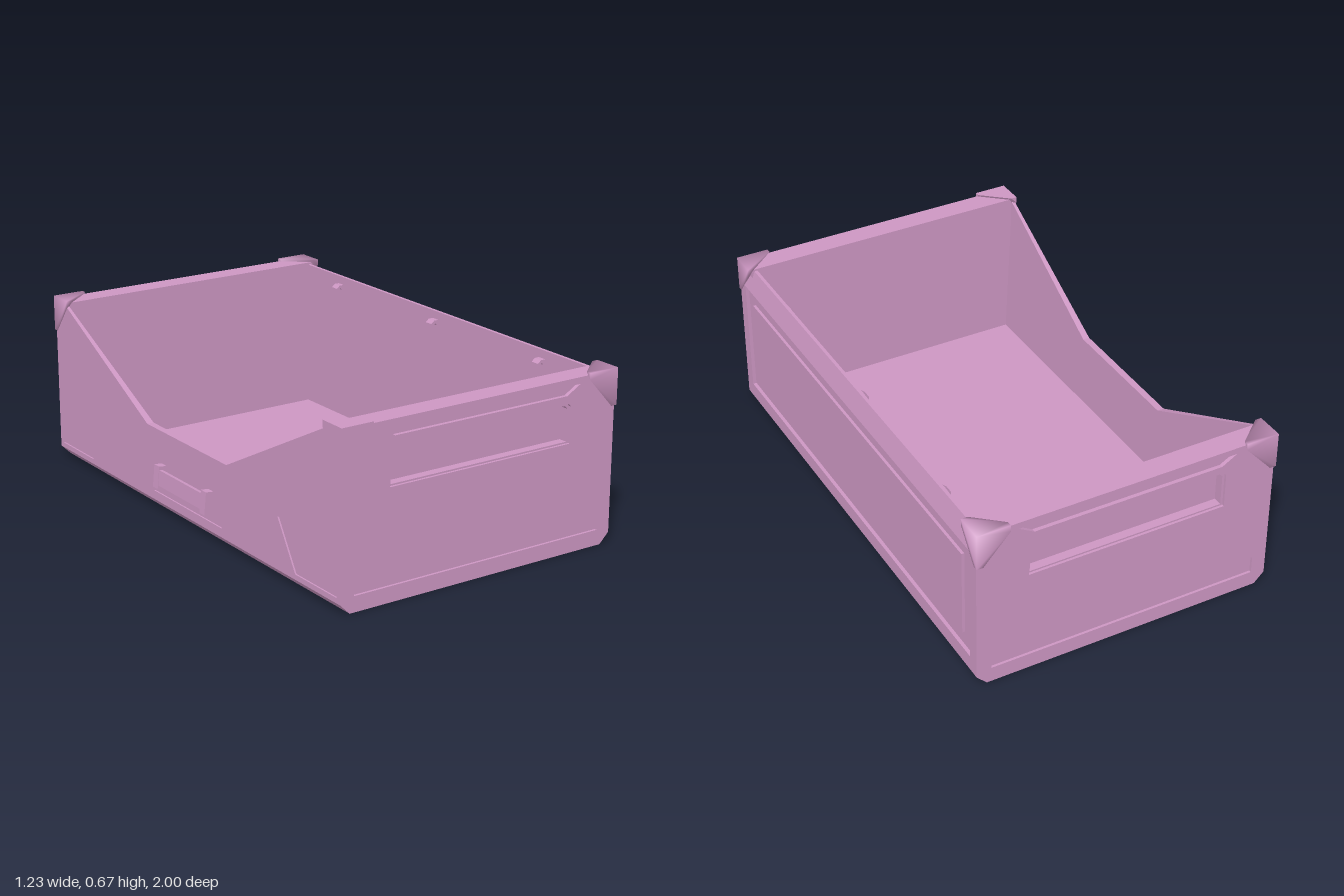
import * as THREE from 'three';
import { mergeGeometries, mergeVertices } from 'three/addons/utils/BufferGeometryUtils.js';
import { ConvexGeometry } from 'three/addons/geometries/ConvexGeometry.js';

const W = 0.5975, L = 0.99; // half width and half length of the bin
const FLOOR = 0.05, TOP = 0.66;

const material = new THREE.MeshStandardMaterial({ color: 0xcc96c2 });

const rect = (x0, y0, x1, y1) => [[x0, y0], [x1, y0], [x1, y1], [x0, y1]];
const toPoints = (pts) => pts.map(([x, y]) => new THREE.Vector2(x, y));

function extrude(pts, z0, z1, holes = []) {
  const shape = new THREE.Shape(toPoints(pts));
  for (const h of holes) shape.holes.push(new THREE.Path(toPoints(h)));
  const geo = new THREE.ExtrudeGeometry(shape, { depth: z1 - z0, bevelEnabled: false });
  return geo.translate(0, 0, z0);
}

// A plate facing +z; each inset is filled by a plug at its own depth, and may hold further insets
function panel(pts, thickness, insets = [], depth = 0) {
  const geos = [extrude(pts, -thickness, -depth, insets.map((i) => i.pts))];
  for (const i of insets) geos.push(panel(i.pts, thickness, i.insets, i.depth));
  return mergeGeometries(geos);
}

function add(parent, name, geo, position = [0, 0, 0], turn = 0) {
  const mesh = new THREE.Mesh(geo, material);
  mesh.name = name;
  mesh.position.set(...position);
  mesh.rotation.y = turn;
  parent.add(mesh);
  return mesh;
}

// Gem-like corner cap: three truncated triangles meeting at the outer corner
function cornerCap(sx, sz, smooth) {
  const offsets = [
    [0, 0, 0], [0.13, 0, 0], [0.13, 0.025, 0], [0.13, 0, 0.02],
    [0, 0.14, 0], [0.025, 0.14, 0], [0, 0.14, 0.02],
    [0, 0, 0.11], [0.025, 0, 0.11], [0, 0.025, 0.11],
  ];
  let geo = new ConvexGeometry(offsets.map(([a, b, c]) =>
    new THREE.Vector3(sx * (W + 0.003 - a), 0.67 - b, sz * (1 - c))));
  if (smooth) {
    geo.deleteAttribute('normal');
    geo = mergeVertices(geo);
    geo.computeVertexNormals();
  }
  return geo;
}

export function createModel() {
  const model = new THREE.Group();
  model.name = 'storageBin';
  const bin = new THREE.Group();
  bin.name = 'bin';
  bin.position.x = 0.0175; // the handle on one side shifts the body
  model.add(bin);

  // Floor with chamfered long edges
  add(bin, 'floor', extrude([
    [-W + 0.04, 0], [W - 0.04, 0], [W, 0.04], [W, FLOOR], [-W, FLOOR], [-W, 0.04],
  ], -L, L));

  // End walls: label pocket, grip groove above it and a long strip below
  const pocket = (m, y0, y1) => [
    [-m, y0], [m, y0], [m, y1 - 0.012], [m - 0.012, y1], [-m + 0.012, y1], [-m, y1 - 0.012],
  ];
  const endWall = panel(rect(-0.58, FLOOR, 0.58, TOP), 0.09, [
    { pts: [[-0.375, 0.6], [0.375, 0.6], [0.435, 0.635], [-0.435, 0.635]], depth: 0.015 },
    { pts: pocket(0.395, 0.42, 0.57), depth: 0.01,
      insets: [{ pts: pocket(0.386, 0.426, 0.561), depth: 0.045 }] },
    { pts: rect(-0.54, 0.06, 0.54, 0.13), depth: 0.01 },
  ]);
  add(bin, 'frontWall', endWall, [0, 0, L]);
  add(bin, 'backWall', endWall, [0, 0, -L], Math.PI);

  // Full-height side wall: sunken frame around a raised field, sloped rim on top
  add(bin, 'leftWall', panel(rect(-L, FLOOR, L, 0.57), 0.04, [
    { pts: rect(-0.94, 0.1, 0.94, 0.569), depth: 0.014,
      insets: [{ pts: rect(-0.88, 0.16, 0.88, 0.51), depth: 0.003 }] },
  ]), [W, 0, 0], Math.PI / 2);
  add(bin, 'leftRim', extrude([
    [W - 0.04, 0.57], [W, 0.57], [W - 0.027, 0.652], [W - 0.04, 0.652],
  ], -L, L));

  // Access side wall, cut low in the middle and thinner towards the top
  const cornerField = (s) => [[s * 0.97, 0.06], [s * 0.72, 0.06], [s * 0.61, 0.24], [s * 0.97, 0.24]];
  const lowWall = panel([
    [-L, FLOOR], [L, FLOOR], [L, TOP], [0.9, 0.645], [0.28, 0.33],
    [-0.28, 0.33], [-0.9, 0.645], [-L, TOP],
  ], 0.04, [
    { pts: cornerField(1), depth: 0.006 },
    { pts: cornerField(-1), depth: 0.006 },
    { pts: rect(-0.24, 0.075, 0.24, 0.21), depth: 0.006 },
  ]);
  const p = lowWall.attributes.position;
  for (let i = 0; i < p.count; i++) {
    if (p.getZ(i) < -0.03) p.setZ(i, -0.04 + 0.028 * (p.getY(i) - FLOOR) / (TOP - FLOOR));
  }
  lowWall.computeVertexNormals();
  add(bin, 'rightWall', lowWall, [-W, 0, 0], -Math.PI / 2);

  // Corner caps
  for (const sx of [-1, 1]) {
    for (const sz of [-1, 1]) add(bin, 'cornerCap', cornerCap(sx, sz, sx > 0 || sz < 0));
  }

  // Tilted handle on the access side
  const handle = new THREE.Group();
  handle.name = 'handle';
  handle.position.set(-W - 0.014, 0.155, -0.005);
  handle.rotation.z = -0.1;
  for (const s of [-1, 1]) {
    add(handle, 'handlePost', new THREE.BoxGeometry(0.032, 0.088, 0.035), [0, 0, s * 0.167]);
  }
  add(handle, 'handleBar', new THREE.BoxGeometry(0.014, 0.06, 0.3), [-0.007, 0, 0]);
  bin.add(handle);

  // Small hooks inside the full-height wall
  const hook = extrude([
    [0, 0.02], [-0.022, 0.02], [-0.036, 0.008], [-0.036, -0.025], [-0.026, -0.025],
    [-0.026, 0], [-0.018, 0.008], [-0.01, 0], [-0.01, -0.035], [0, -0.035],
  ].reverse(), -0.018, 0.018);
  for (const z of [-0.655, -0.01, 0.635]) add(bin, 'hook', hook, [W - 0.038, 0.6, z]);

  return model;
}
